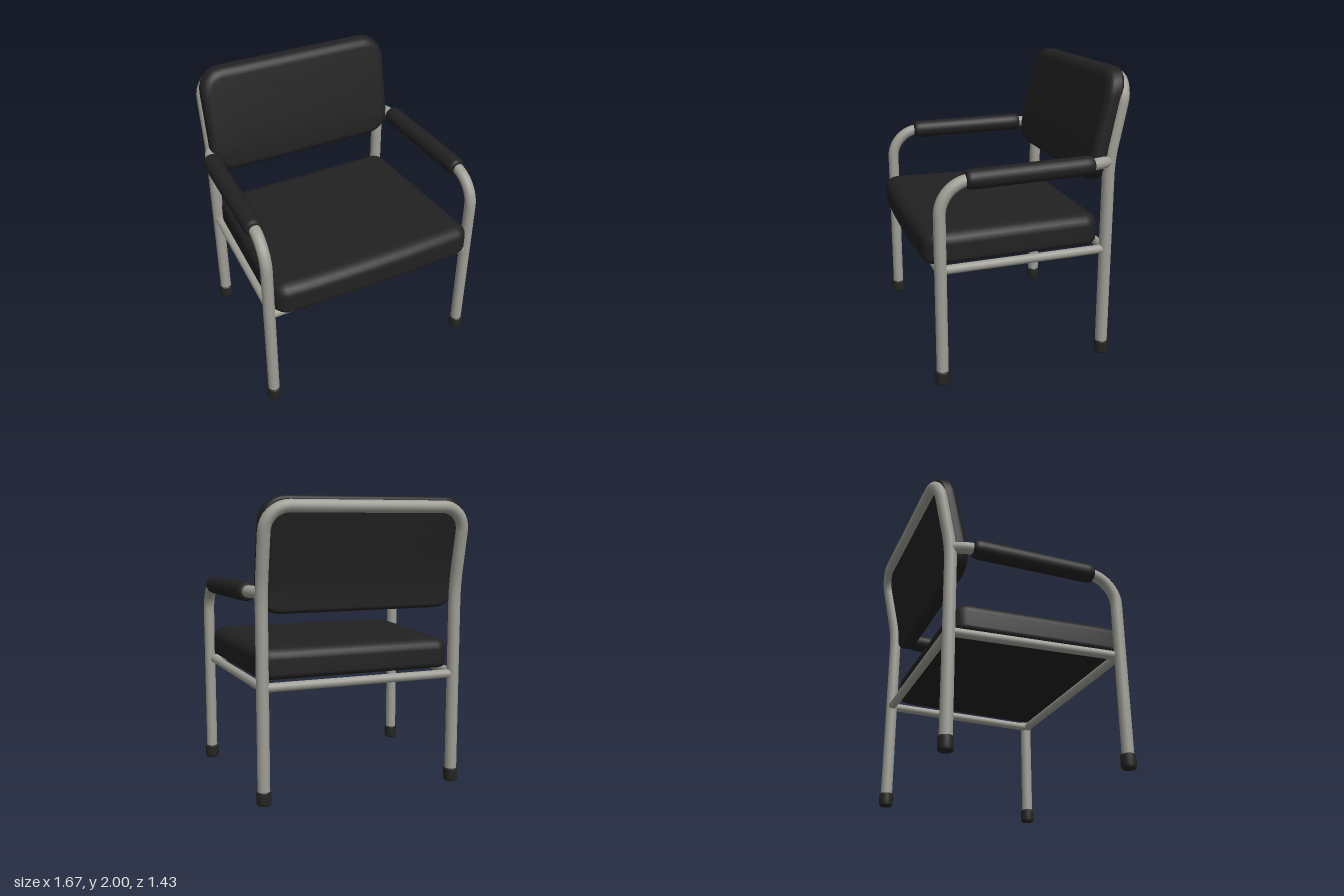
import * as THREE from 'three';
import { mergeVertices } from 'three/addons/utils/BufferGeometryUtils.js';

const steel = new THREE.MeshStandardMaterial({ name: 'grey steel', color: 0x9e9e96 });
const fabric = new THREE.MeshStandardMaterial({ name: 'black upholstery', color: 0x212121 });
const rubber = new THREE.MeshStandardMaterial({ name: 'dark rubber', color: 0x242422 });

const v3 = (x, y, z) => new THREE.Vector3(x, y, z);

// Straight runs joined by rounded bends; radii[i] belongs to the inner point i + 1
function bentTube(points, radii, radius, segments) {
  const path = new THREE.CurvePath();
  let from = points[0];
  for (let i = 1; i < points.length - 1; i++) {
    const p = points[i], r = radii[i - 1];
    const a = p.clone().add(points[i - 1].clone().sub(p).setLength(r));
    const b = p.clone().add(points[i + 1].clone().sub(p).setLength(r));
    path.add(new THREE.LineCurve3(from, a));
    path.add(new THREE.CubicBezierCurve3(a, a.clone().lerp(p, 0.55), b.clone().lerp(p, 0.55), b));
    from = b;
  }
  path.add(new THREE.LineCurve3(from, points[points.length - 1]));
  return new THREE.TubeGeometry(path, segments, radius, 16, false);
}

// Rounded rectangle outline, counter-clockwise, with subdivided sides
function outline(hw, hh, r) {
  const pts = [], corner = 7, side = 10;
  for (let q = 0; q < 4; q++) {
    const cx = (q === 0 || q === 3 ? 1 : -1) * (hw - r);
    const cy = (q < 2 ? 1 : -1) * (hh - r);
    for (let i = 0; i < corner; i++) {
      const a = (q + i / (corner - 1)) * Math.PI / 2;
      pts.push([cx + r * Math.cos(a), cy + r * Math.sin(a)]);
    }
    const [x0, y0] = pts[pts.length - 1];
    const nx = q === 0 || q === 1 ? -(hw - r) : hw - r;
    const x1 = q === 0 ? nx : q === 1 ? -hw : q === 2 ? nx : hw;
    const y1 = q === 0 ? hh : q === 1 ? -(hh - r) : q === 2 ? -hh : hh - r;
    for (let i = 1; i < side; i++) {
      pts.push([x0 + (x1 - x0) * i / side, y0 + (y1 - y0) * i / side]);
    }
  }
  return pts;
}

// Cushion from stacked outlines; profile holds [inset, height], bend moves each vertex
function cushion(hw, hh, r, profile, bend) {
  const pos = [], index = [], p = new THREE.Vector3();
  let n = 0;
  for (const [inset, h] of profile) {
    const ring = outline(hw - inset, hh - inset, Math.max(r - inset, 0));
    n = ring.length;
    for (const [x, y] of ring) {
      bend(p.set(x, y, h));
      pos.push(p.x, p.y, p.z);
    }
  }
  for (let j = 0; j < profile.length - 1; j++) {
    for (let i = 0; i < n; i++) {
      const a = j * n + i, b = j * n + (i + 1) % n;
      index.push(a, b, a + n, b, b + n, a + n);
    }
  }
  const g = new THREE.BufferGeometry();
  g.setAttribute('position', new THREE.Float32BufferAttribute(pos, 3));
  g.setIndex(index);
  const merged = mergeVertices(g, 1e-5);
  merged.computeVertexNormals();
  return merged;
}

// Rounded edge profile: flat bottom, bottom radius, top radii, flat top
function padProfile(half, depth, bottom, topIn, topDown) {
  const p = [[half, 0], [half * 0.7, 0], [half * 0.4, 0]], steps = 6;
  for (let i = 0; i <= steps; i++) {
    const a = i / steps * Math.PI / 2;
    p.push([bottom * (1 - Math.sin(a)), bottom * (1 - Math.cos(a))]);
  }
  for (let i = 0; i <= steps; i++) {
    const a = i / steps * Math.PI / 2;
    p.push([topIn * (1 - Math.cos(a)), depth - topDown * (1 - Math.sin(a))]);
  }
  p.push([half * 0.4, depth], [half * 0.7, depth], [half, depth]);
  return p;
}

function lathe(points) {
  return new THREE.LatheGeometry(points.map(([x, y]) => new THREE.Vector2(x, y)), 24);
}

export function createModel() {
  const chair = new THREE.Group();
  chair.name = 'armchair';
  const add = (name, geometry, material) => {
    const mesh = new THREE.Mesh(geometry, material);
    mesh.name = name;
    chair.add(mesh);
    return mesh;
  };
  const bar = (name, a, b, r) =>
    add(name, new THREE.TubeGeometry(new THREE.LineCurve3(a, b), 1, r, 14, false), steel);

  // Seat: narrower at the rear, front edge slightly bowed
  const seat = cushion(0.75, 0.61, 0.1, padProfile(0.61, 0.215, 0.04, 0.1, 0.08), (p) => {
    const front = (0.61 - p.y) / 1.22;
    p.y -= 0.02 * front * (1 - (p.x / 0.75) ** 2);
    p.x *= 0.925 + 0.075 * Math.min(1, front * 1.15);
  });
  seat.rotateX(-Math.PI / 2);
  seat.translate(0, 0.815, 0.085);
  add('seatCushion', seat, fabric);

  // Backrest: upright at the bottom, leaning back above the arms
  const back = cushion(0.72, 0.375, 0.16, padProfile(0.375, 0.115, 0.03, 0.06, 0.05), (p) => {
    p.y += 1.625;
    const t = p.y - 1.4;
    p.z += -0.545 - 0.22 * (t + Math.sqrt(t * t + 0.004)) / 2;
  });
  add('backrestCushion', back, fabric);

  // Rear legs and backrest hoop in one bent tube
  const hoop = [v3(-0.695, 0.05, -0.565), v3(-0.695, 1.4, -0.565), v3(-0.695, 1.935, -0.672),
    v3(0.695, 1.935, -0.672), v3(0.695, 1.4, -0.565), v3(0.695, 0.05, -0.565)];
  add('rearLegsAndBackFrame', bentTube(hoop, [0.1, 0.16, 0.16, 0.1], 0.042, 160), steel);

  // Seat frame cross bars
  bar('frontSeatBar', v3(-0.76, 0.787, 0.61), v3(0.76, 0.787, 0.61), 0.03);
  bar('rearSeatBar', v3(-0.69, 0.782, -0.565), v3(0.69, 0.782, -0.565), 0.03);

  const foot = lathe([[0, 0], [0.038, 0], [0.046, 0.005], [0.05, 0.018], [0.05, 0.085],
    [0.047, 0.093], [0.04, 0.095], [0, 0.095]]);

  for (const s of [1, -1]) {
    const side = s > 0 ? 'left' : 'right';
    bar(side + 'SeatBar', v3(s * 0.755, 0.787, 0.61), v3(s * 0.695, 0.782, -0.565), 0.03);

    // Front leg bending into the arm
    const arm = [v3(s * 0.78, 0.05, 0.61), v3(s * 0.78, 1.37, 0.61),
      v3(s * 0.745, 1.395, -0.46), v3(s * 0.695, 1.397, -0.565)];
    add(side + 'FrontLegAndArm', bentTube(arm, [0.21, 0.06], 0.04, 110), steel);

    // Padded sleeve on the arm
    const a = v3(s * 0.774, 1.374, 0.44), b = v3(s * 0.746, 1.394, -0.43);
    const dir = b.clone().sub(a), len = dir.length();
    const pad = add(side + 'ArmrestPad', lathe([[0, 0], [0.045, 0], [0.057, 0.008], [0.064, 0.03],
      [0.065, 0.06], [0.065, len - 0.06], [0.064, len - 0.03], [0.057, len - 0.008],
      [0.045, len], [0, len]]), fabric);
    pad.position.copy(a);
    pad.quaternion.setFromUnitVectors(v3(0, 1, 0), dir.normalize());

    // Rubber feet
    add(side + 'FrontFoot', foot, rubber).position.set(s * 0.78, 0, 0.61);
    add(side + 'RearFoot', foot, rubber).position.set(s * 0.695, 0, -0.565);
  }
  return chair;
}
